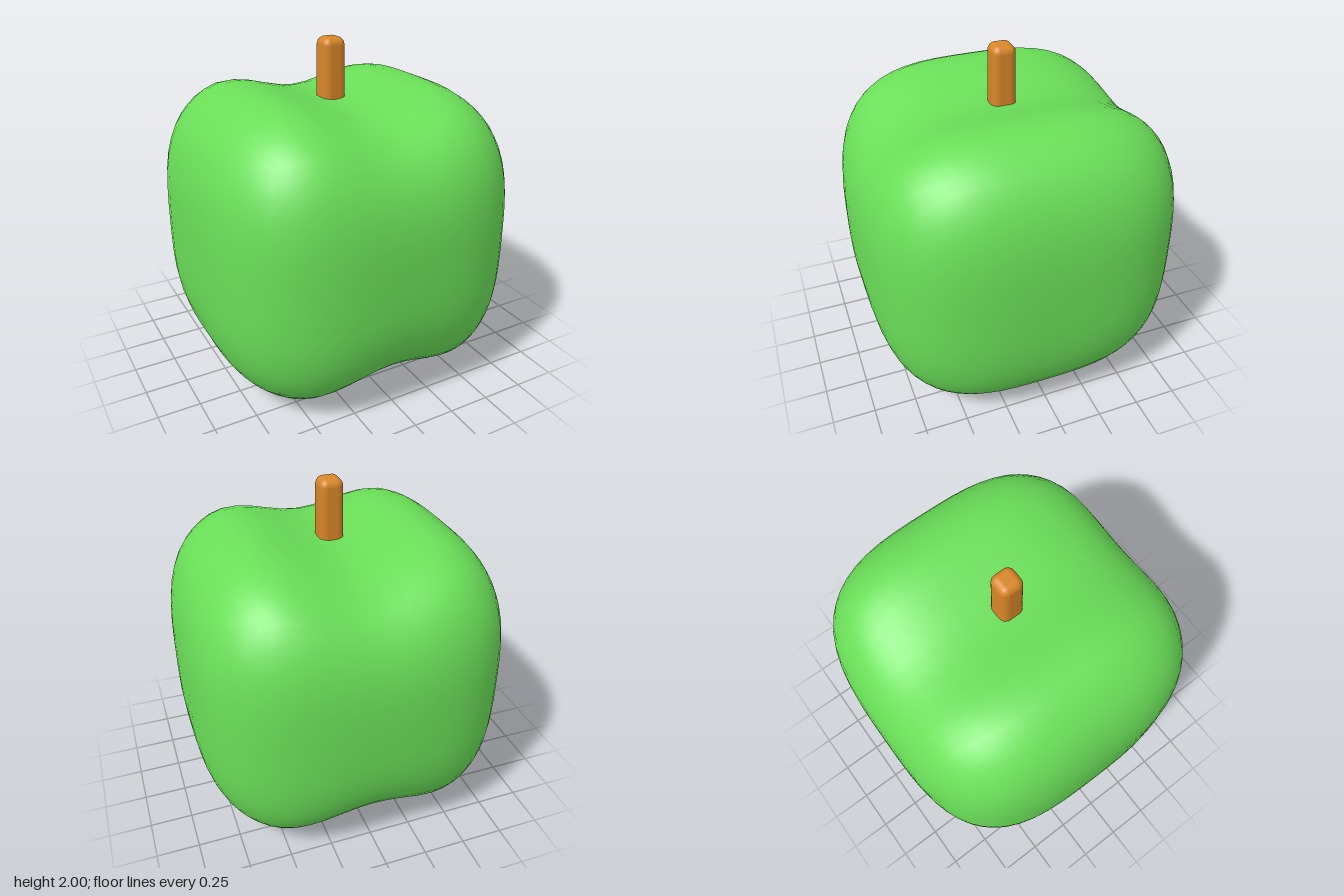
import * as THREE from 'three';
import { mergeVertices } from 'three/addons/utils/BufferGeometryUtils.js';
import { RoundedBoxGeometry } from 'three/addons/geometries/RoundedBoxGeometry.js';

const HALF = 0.92;      // half extent of the fruit
const POWER = 3.18;     // squareness of the rounded cube
const CENTRE_Y = 0.87;

// Rounded cube with a valley along z pressed into its top and bottom
function fruitGeometry() {
  let geo = new THREE.BoxGeometry(2, 2, 2, 16, 16, 16);
  geo.deleteAttribute('normal');
  geo.deleteAttribute('uv');
  geo = mergeVertices(geo, 1e-4);
  const pos = geo.attributes.position;
  const v = new THREE.Vector3();
  for (let i = 0; i < pos.count; i++) {
    v.fromBufferAttribute(pos, i);
    const norm = v.toArray().reduce((s, c) => s + Math.abs(c) ** POWER, 0) ** (1 / POWER);
    v.multiplyScalar(HALF / norm);
    const t = Math.min(Math.abs(v.x) / 0.6, 1);
    v.y *= 1 - 0.15 * Math.cos(t * Math.PI / 2) ** 2;
    pos.setXYZ(i, v.x, v.y, v.z);
  }
  geo.computeVertexNormals();
  return geo;
}

// Square stem with a rounded, slightly tapered tip
function stemGeometry() {
  const height = 0.5;
  const geo = new RoundedBoxGeometry(0.146, height, 0.146, 4, 0.045);
  const pos = geo.attributes.position;
  for (let i = 0; i < pos.count; i++) {
    const k = 1 - 0.08 * Math.max(0, pos.getY(i) / (height / 2)) ** 2;
    pos.setXYZ(i, pos.getX(i) * k, pos.getY(i), pos.getZ(i) * k);
  }
  return geo;
}

export function createModel() {
  const group = new THREE.Group();
  group.name = 'squareApple';

  const fruit = new THREE.Mesh(fruitGeometry(), new THREE.MeshStandardMaterial({ color: 0x6ade58 }));
  fruit.name = 'fruit';
  fruit.position.y = CENTRE_Y;

  const stem = new THREE.Mesh(stemGeometry(), new THREE.MeshStandardMaterial({ color: 0xd88628 }));
  stem.name = 'stem';
  stem.position.y = 1.75;

  group.add(fruit, stem);
  return group;
}
